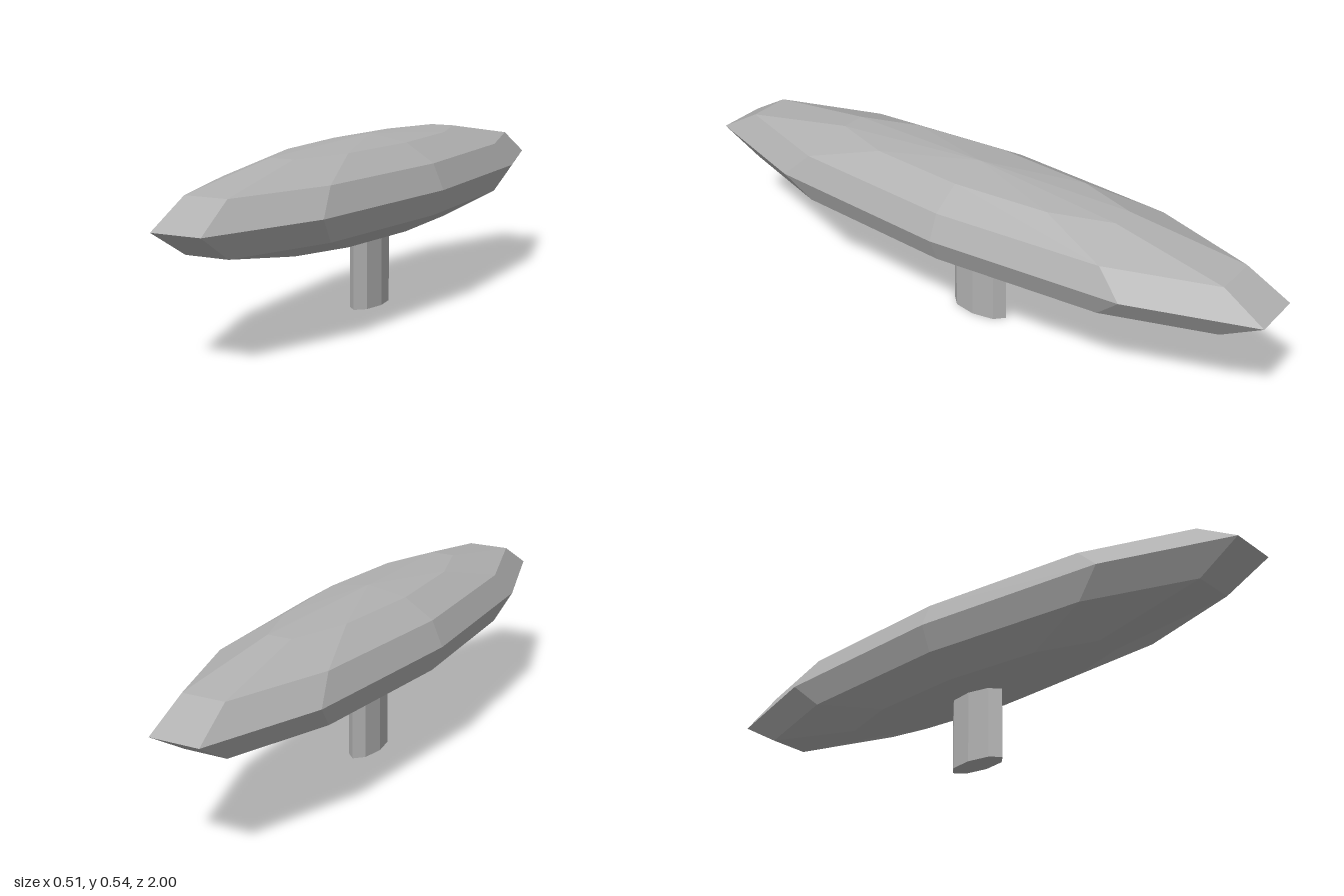
import * as THREE from 'three';

export function createModel() {
  const model = new THREE.Group();
  const grey = new THREE.MeshStandardMaterial({ color: 0xb0b0b0, flatShading: true });
  grey.name = 'grey';

  const addPart = (name, geometry, y) => {
    const mesh = new THREE.Mesh(geometry, grey);
    mesh.name = name;
    mesh.position.y = y;
    model.add(mesh);
  };

  // Long faceted ellipsoid: ten sides, six rings, end edges at z = -1 and 1
  const body = new THREE.SphereGeometry(1, 10, 6);
  body.scale(0.254, 0.158, 1 / Math.sin(Math.PI * 0.4));
  addPart('body', body, 0.378);

  // Flattened octagonal stem, its top set into the body
  const stemHeight = 0.26;
  const stem = new THREE.CylinderGeometry(1, 1, stemHeight, 8);
  stem.scale(0.042, 1, 0.1);
  addPart('stem', stem, stemHeight / 2);

  return model;
}
